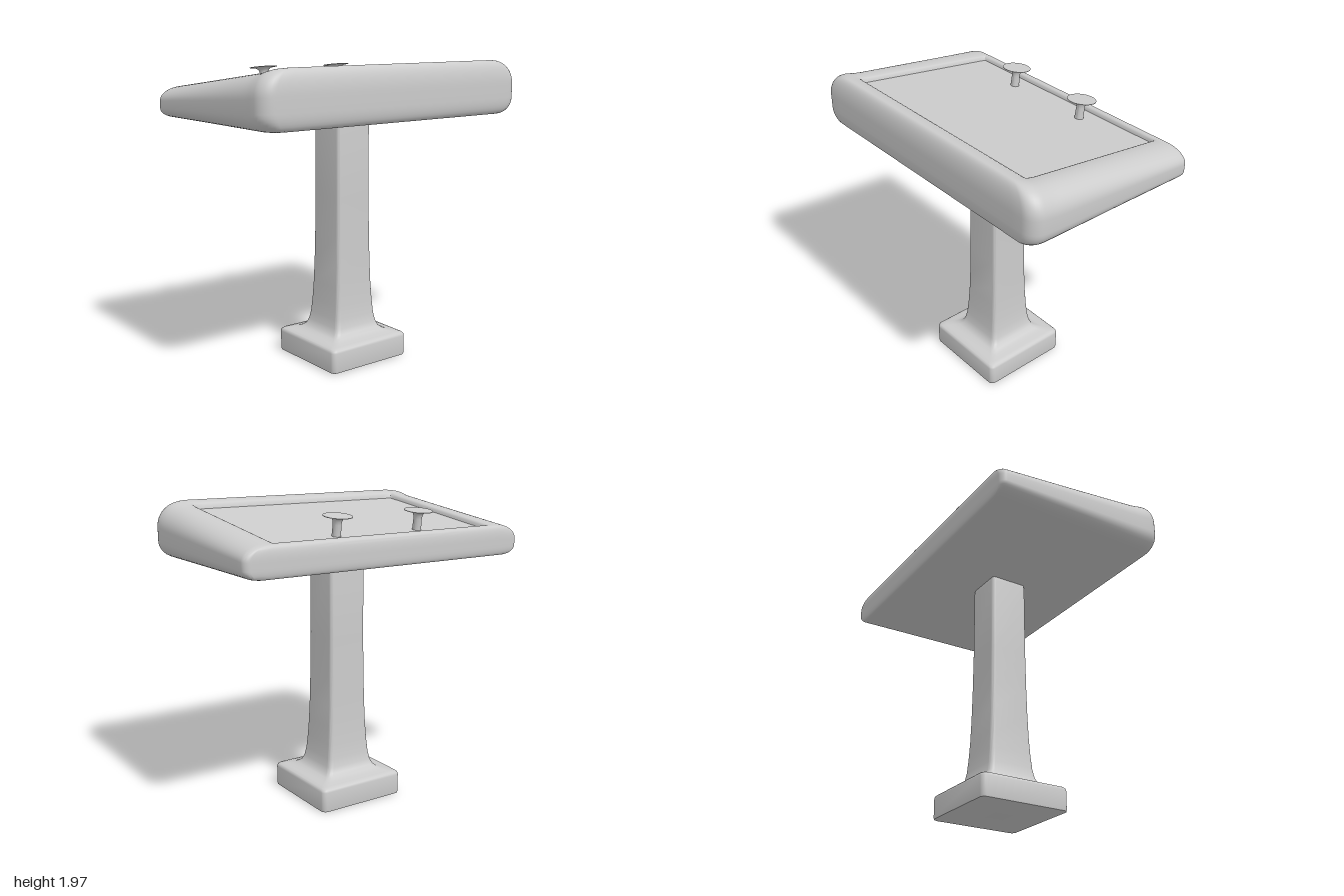
import * as THREE from 'three';
import { toCreasedNormals } from 'three/addons/utils/BufferGeometryUtils.js';

const material = new THREE.MeshStandardMaterial({ color: 0xcccccc, side: THREE.DoubleSide });
const SLOPE = 0.129;
const BOTTOM = 1.617;

// Height of the sloping desk top, and the raised lip along its high side
const topAt = (x) => 1.883 + SLOPE * x;
const lipAt = (x) => 0.013 * THREE.MathUtils.smoothstep(x, 0.4, 0.54);

// Rounded rectangle in plan; rl and rr are the corner radii at the -x and +x sides
function roundedLoop(x0, x1, z, rl, rr, heightAt, edgeSteps = 1) {
  const corners = [
    [x1 - rr, z - rr, rr, 0], [x0 + rl, z - rl, rl, 1],
    [x0 + rl, rl - z, rl, 2], [x1 - rr, rr - z, rr, 3],
  ];
  const arcs = corners.map(([cx, cz, r, q]) => Array.from({ length: 9 }, (_, i) => {
    const a = (q + i / 8) * Math.PI / 2;
    return [cx + r * Math.cos(a), cz + r * Math.sin(a)];
  }));
  const loop = [];
  arcs.forEach((arc, k) => {
    loop.push(...arc);
    const from = arc[8], to = arcs[(k + 1) % 4][0];
    for (let i = 1; i < edgeSteps; i++) {
      const t = i / edgeSteps;
      loop.push([from[0] + (to[0] - from[0]) * t, from[1] + (to[1] - from[1]) * t]);
    }
  });
  return loop.map(([x, pz]) => new THREE.Vector3(x, heightAt(x), pz));
}

// Skin stacked loops and close both ends
function loft(loops, crease) {
  const positions = [], index = [], n = loops[0].length;
  loops.forEach((loop) => loop.forEach((p) => positions.push(p.x, p.y, p.z)));
  for (let k = 0; k < loops.length - 1; k++) {
    for (let i = 0; i < n; i++) {
      const j = (i + 1) % n;
      const a = k * n + i, b = k * n + j, c = a + n, d = b + n;
      index.push(a, c, b, b, c, d);
    }
  }
  [0, loops.length - 1].forEach((k) => {
    const centre = new THREE.Vector3();
    loops[k].forEach((p) => centre.addScaledVector(p, 1 / n));
    const c = positions.length / 3;
    positions.push(centre.x, centre.y, centre.z);
    for (let i = 0; i < n; i++) {
      const a = k * n + i, b = k * n + (i + 1) % n;
      if (k === 0) index.push(c, a, b);
      else index.push(c, b, a);
    }
  });
  const geometry = new THREE.BufferGeometry();
  geometry.setAttribute('position', new THREE.Float32BufferAttribute(positions, 3));
  geometry.setIndex(index);
  return toCreasedNormals(geometry, crease);
}

function addMesh(parent, name, geometry) {
  const mesh = new THREE.Mesh(geometry, material);
  mesh.name = name;
  parent.add(mesh);
  return mesh;
}

// Wedge-shaped desk with bulging sides and a sunken sloping panel
function deskGeometry() {
  const loops = [];
  const add = (x0, x1, z, rl, rr, heightAt) => loops.push(roundedLoop(x0, x1, z, rl, rr, heightAt, 24));
  const side = (t) => (x) => BOTTOM + t * (topAt(x) + lipAt(x) - BOTTOM);
  // Lower rounding
  for (let i = 0; i <= 8; i++) {
    const a = (i / 8 - 1) * Math.PI / 2, c = Math.max(0, Math.cos(a));
    add(-0.58 - 0.03 * Math.sqrt(c), 0.53 + 0.073 * Math.sqrt(c), 0.9 + 0.1 * c,
      0.04, 0.09, side(0.3 + 0.3 * Math.sin(a)));
  }
  // Upper rounding
  for (let i = 0; i <= 12; i++) {
    const a = (i / 12) * Math.PI / 2, c = Math.max(0, Math.cos(a));
    add(-0.57 - 0.04 * Math.sqrt(c), 0.545 + 0.058 * c, 0.85 + 0.15 * c,
      0.04, 0.09, side(0.55 + 0.45 * Math.sin(a)));
  }
  // Rim, soft inner edge and panel
  add(-0.562, 0.485, 0.8, 0.02, 0.03, side(1));
  add(-0.553, 0.472, 0.79, 0.015, 0.015, (x) => topAt(x) + lipAt(x) - 0.004);
  add(-0.546, 0.464, 0.783, 0.01, 0.01, (x) => topAt(x) - 0.013);
  add(-0.543, 0.46, 0.779, 0.01, 0.01, (x) => topAt(x) - 0.03);
  return loft(loops, 0.75);
}

// Square pedestal flaring into a block foot: [half width, height, corner radius]
function pedestalGeometry() {
  const profile = [
    [0.298, 0, 0.03], [0.306, 0.004, 0.035], [0.308, 0.015, 0.035], [0.308, 0.135, 0.035],
    [0.305, 0.148, 0.035], [0.295, 0.157, 0.035], [0.27, 0.162, 0.035], [0.235, 0.169, 0.035],
    [0.205, 0.18, 0.035], [0.182, 0.2, 0.033], [0.168, 0.235, 0.031], [0.158, 0.29, 0.03],
    [0.15, 0.38, 0.028], [0.143, 0.5, 0.026], [0.138, 0.65, 0.025], [0.134, 0.85, 0.024],
    [0.131, 1.1, 0.023], [0.13, 1.59, 0.022], [0.126, 1.62, 0.02],
  ];
  return loft(profile.map(([w, y, r]) => roundedLoop(-w, w, w, r, r, () => y)), 0.75);
}

// Knob with a slim stem flaring into a thin disc
function knobGeometry() {
  const profile = [
    [0, 0], [0.028, 0], [0.026, 0.07], [0.028, 0.09], [0.034, 0.104],
    [0.05, 0.114], [0.09, 0.12], [0.09, 0.123], [0, 0.123],
  ].map(([r, y]) => new THREE.Vector2(r, y));
  return toCreasedNormals(new THREE.LatheGeometry(profile, 40), 0.7);
}

export function createModel() {
  const model = new THREE.Group();
  model.name = 'pedestalDesk';
  addMesh(model, 'pedestal', pedestalGeometry());
  addMesh(model, 'deskTop', deskGeometry());

  const knob = knobGeometry();
  [['backKnob', -0.285], ['frontKnob', 0.317]].forEach(([name, z]) => {
    const mesh = addMesh(model, name, knob);
    mesh.position.set(-0.418, topAt(-0.418) - 0.031, z);
    mesh.rotation.z = Math.atan(SLOPE);
  });
  return model;
}
